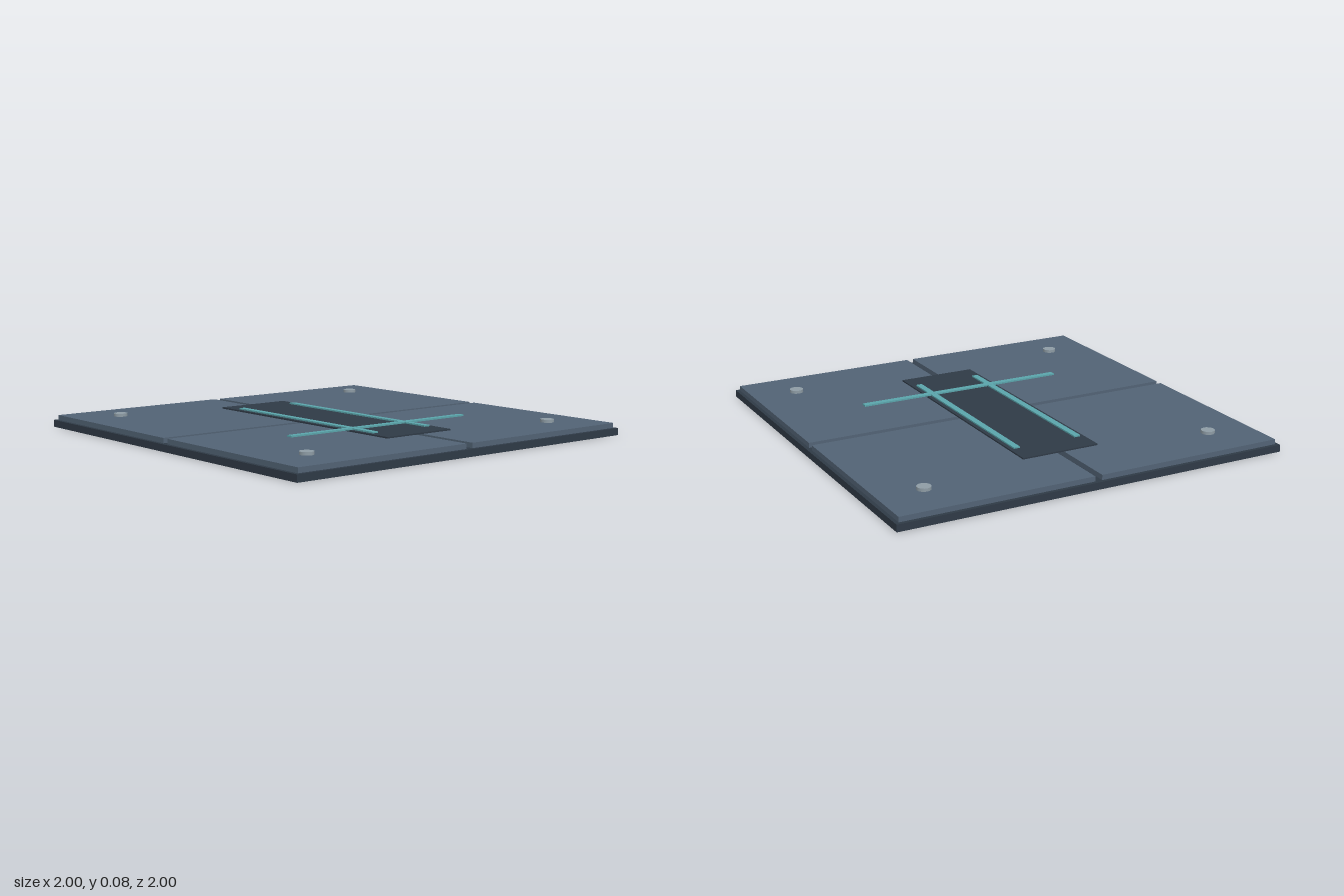
import * as THREE from 'three';

const material = (color) => new THREE.MeshStandardMaterial({ color });

export function createModel() {
  const group = new THREE.Group();
  const dark = material(0x2f3a46);
  const slate = material(0x526375);
  const teal = material(0x5aa5ab);
  const steel = material(0x8e9ca5);

  // Box given by its size, the height of its underside and its centre on the floor plane
  function slab(name, [w, h, d], bottom, x, z, mat) {
    const mesh = new THREE.Mesh(new THREE.BoxGeometry(w, h, d), mat);
    mesh.name = name;
    mesh.position.set(x, bottom + h / 2, z);
    group.add(mesh);
  }

  slab('base', [2, 0.035, 2], 0, 0, 0, dark);

  // Four floor panels with a bolt near each outer corner
  const boltGeometry = new THREE.CylinderGeometry(0.034, 0.034, 0.015, 16);
  for (const sx of [-1, 1]) {
    for (const sz of [-1, 1]) {
      slab('floorPanel', [0.964, 0.025, 0.964], 0.035, sx * 0.5, sz * 0.5, slate);
      const bolt = new THREE.Mesh(boltGeometry, steel);
      bolt.name = 'bolt';
      bolt.position.set(sx * 0.755, 0.0675, sz * 0.755);
      group.add(bolt);
    }
  }

  // Raised centre plate with two long strips
  slab('centrePlate', [0.4, 0.007, 1.3], 0.06, 0, 0, dark);
  for (const sx of [-1, 1]) {
    slab('longStrip', [0.032, 0.007, 1.05], 0.067, sx * 0.164, 0, teal);
  }

  // Cross strip lies over the plate and overhangs the panels
  slab('crossStrip', [1.095, 0.008, 0.032], 0.067, 0, 0.365, teal);

  return group;
}
